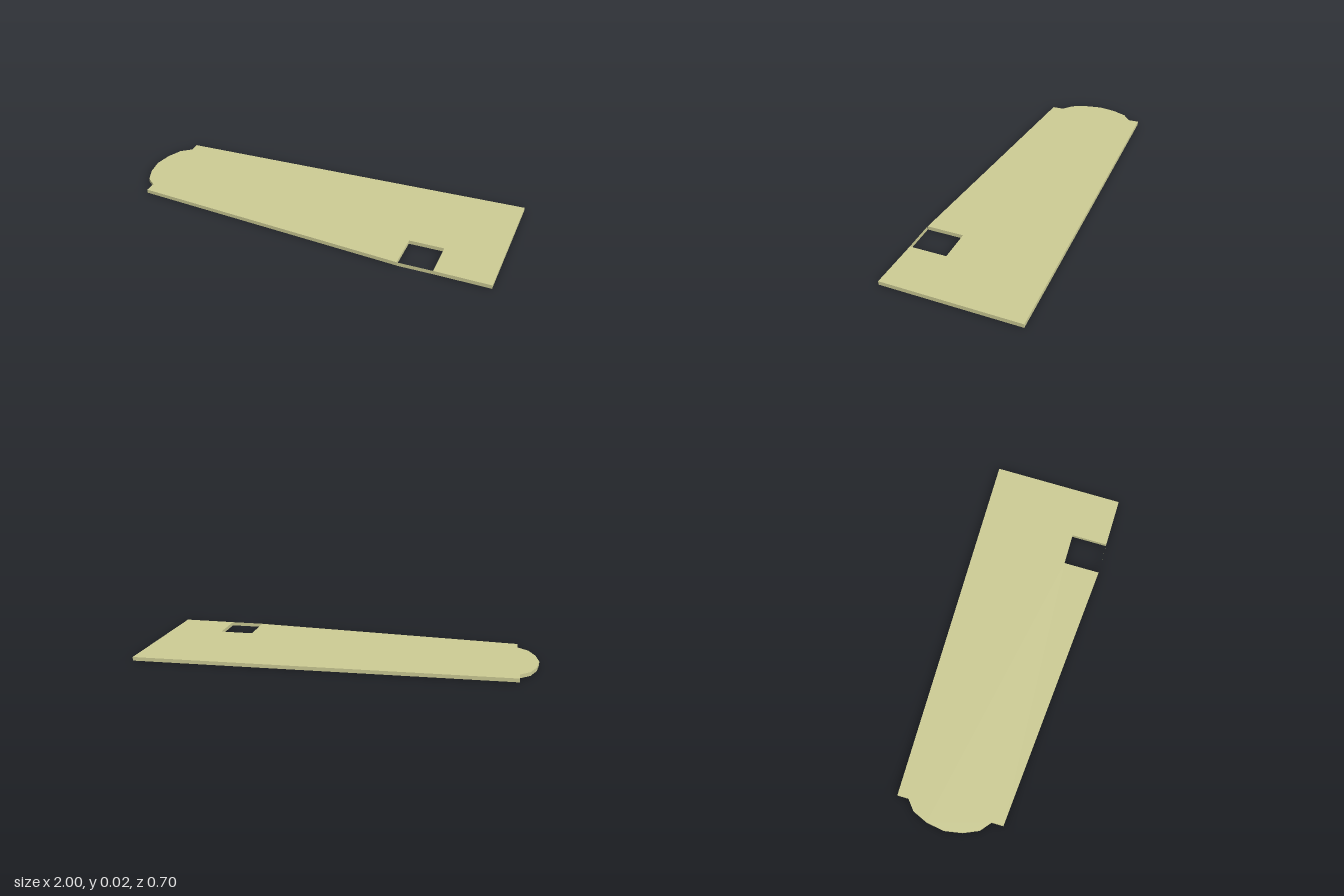
import * as THREE from 'three';

const THICKNESS = 0.019;

export function createModel() {
  const group = new THREE.Group();
  group.name = 'taperedPanel';
  const color = 0xcccb94;

  // Rounded tip, listed as half of a faceted arc and mirrored about its own axis
  const tipAxis = -0.05;
  const halfTip = [[-0.9, 0.21], [-0.952, 0.167], [-0.985, 0.09]];
  const tip = [
    ...halfTip.map(([x, d]) => [x, tipAxis + d]),
    [-1, tipAxis],
    ...halfTip.slice().reverse().map(([x, d]) => [x, tipAxis - d]),
  ];

  // Panel outline in x and z, with a notch cut in from the front edge
  const notchLeft = [0.7, 0.343], notchRight = [0.525, 0.342];
  const outline = [
    [-0.9, -0.316], [1, -0.35], [0.975, 0.348],
    notchLeft, [0.705, 0.152], [0.53, 0.152], notchRight,
    [-0.9, 0.22], ...tip,
  ];
  const shape = new THREE.Shape(outline.map(([x, z]) => new THREE.Vector2(x, z)));
  const panelGeometry = new THREE.ExtrudeGeometry(shape, { depth: THICKNESS, bevelEnabled: false });
  panelGeometry.rotateX(Math.PI / 2).translate(0, THICKNESS, 0);
  const panel = new THREE.Mesh(panelGeometry, new THREE.MeshStandardMaterial({ color, flatShading: true }));
  panel.name = 'panel';
  group.add(panel);

  // Paper-thin edge strip closing the front of the notch
  const strip = new THREE.Mesh(
    new THREE.PlaneGeometry(notchLeft[0] - notchRight[0], THICKNESS),
    new THREE.MeshStandardMaterial({ color, side: THREE.DoubleSide }),
  );
  strip.name = 'notchEdgeStrip';
  strip.position.set((notchLeft[0] + notchRight[0]) / 2, THICKNESS / 2, notchLeft[1]);
  group.add(strip);

  return group;
}
